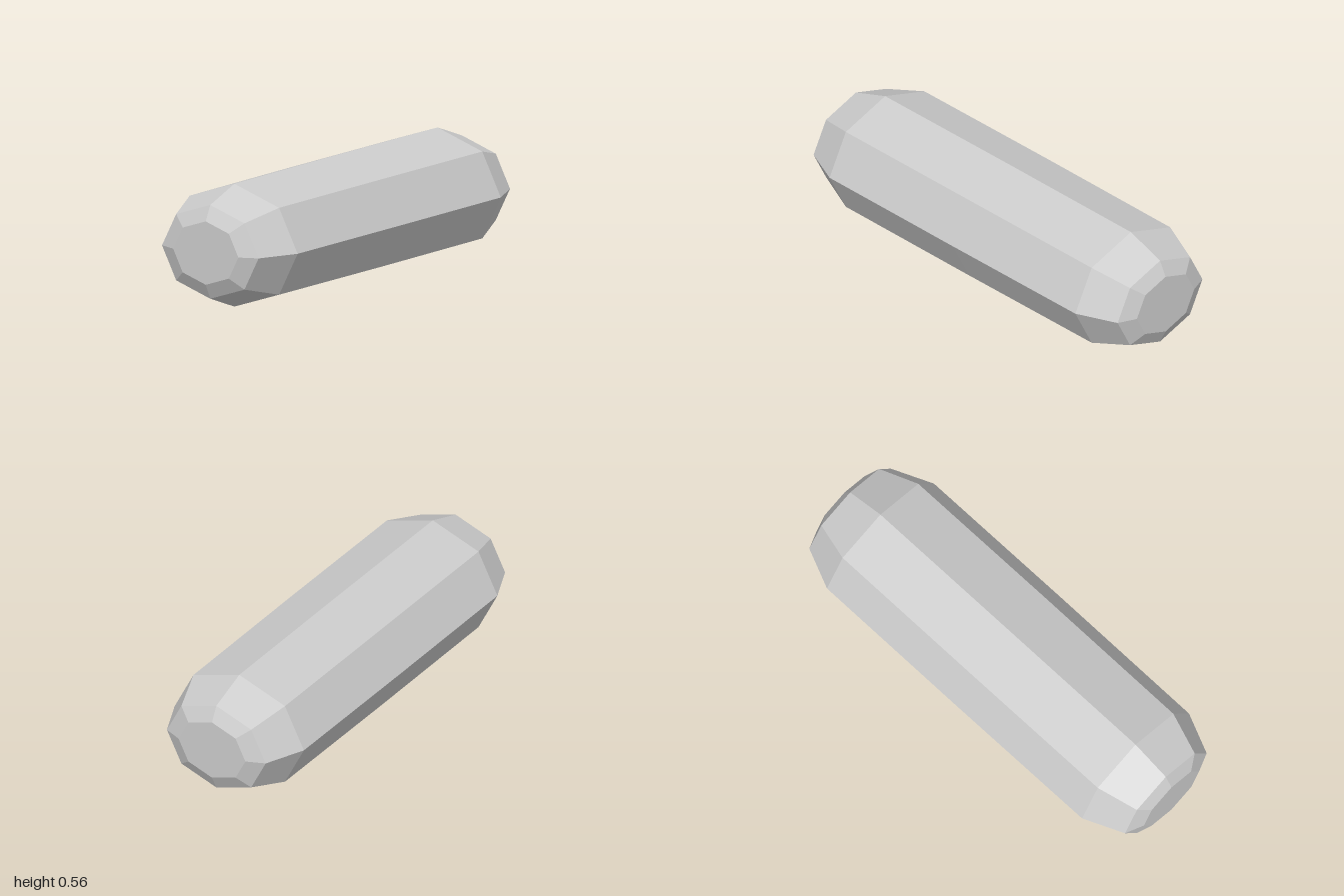
import * as THREE from 'three';

const HALF_WIDTH = 0.343;
const HALF_HEIGHT = 0.278;

// Profile of one half from the middle seam to the flat tip: [relative radius, distance along z]
const PROFILE = [[1, 0], [0.994, 0.78], [0.759, 0.965], [0.513, 1], [0, 1]];

export function createModel() {
  const group = new THREE.Group();
  group.name = 'capsule';

  const material = new THREE.MeshStandardMaterial({ color: 0xcccccc, flatShading: true });

  // Eight-sided half capsule, turned to point along +z and flattened to an oval
  const half = new THREE.LatheGeometry(PROFILE.map(([r, d]) => new THREE.Vector2(r, d)), 8);
  half.rotateX(Math.PI / 2);
  half.scale(HALF_WIDTH, HALF_HEIGHT, 1);

  // Front and back halves meet at the seam
  for (const [name, turn] of [['frontHalf', 0], ['backHalf', Math.PI]]) {
    const mesh = new THREE.Mesh(half, material);
    mesh.name = name;
    mesh.rotation.y = turn;
    mesh.position.y = HALF_HEIGHT;
    group.add(mesh);
  }
  return group;
}
